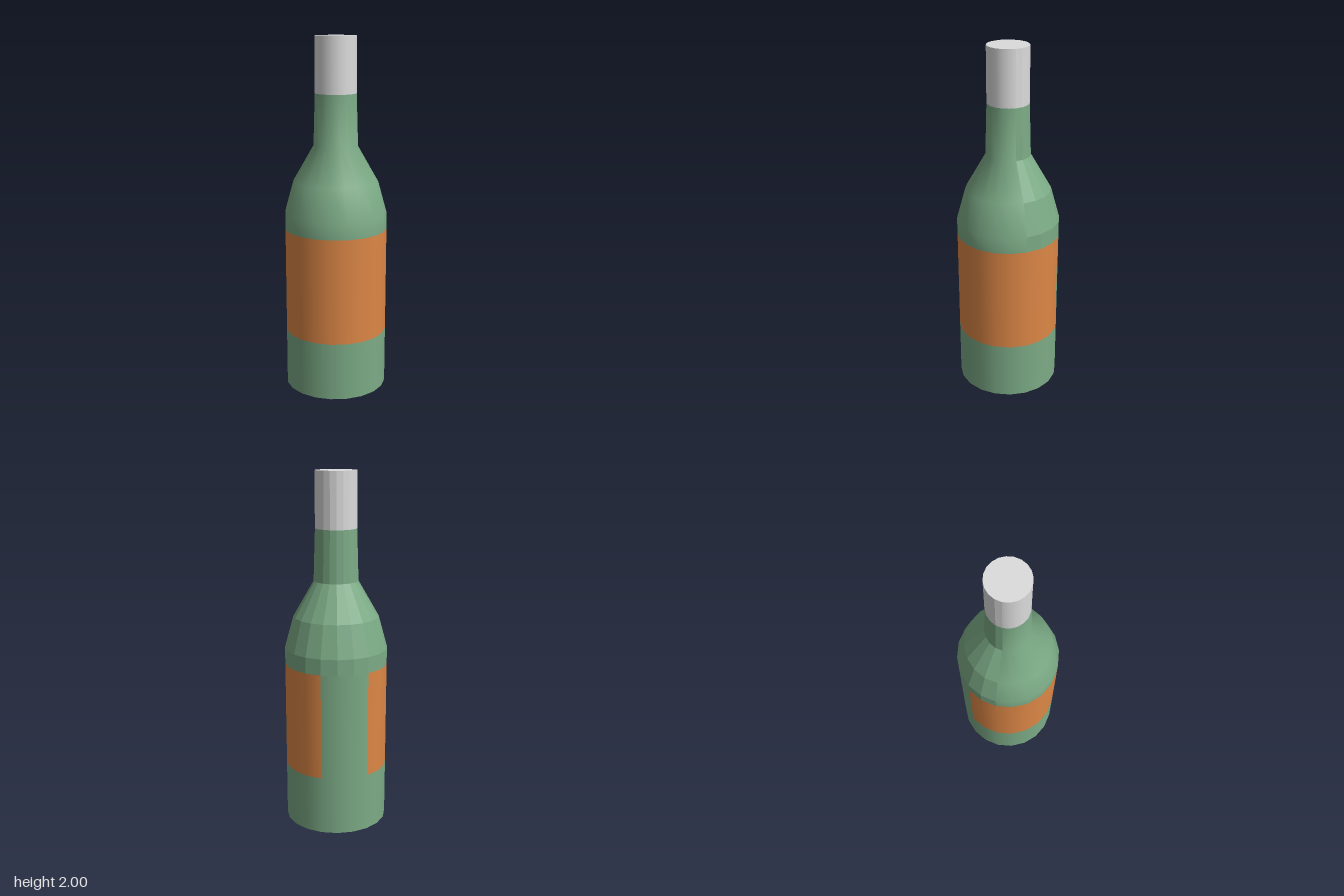
import * as THREE from 'three';

const SIDES = 20;
const RADIUS = 0.29;

const green = new THREE.MeshStandardMaterial({ color: 0x7cab86 });
green.name = 'green glass';
const orange = new THREE.MeshStandardMaterial({ color: 0xdd8746 });
orange.name = 'orange label';
const grey = new THREE.MeshStandardMaterial({ color: 0xdcdcdc });
grey.name = 'pale foil';

// Turns a [radius, height] profile over the sides from..to (side 0 faces +z).
function turned(name, profile, material, from = 0, to = SIDES, flat = false) {
  const step = (Math.PI * 2) / SIDES;
  let geometry = new THREE.LatheGeometry(
    profile.map(([r, y]) => new THREE.Vector2(r, y)), to - from, from * step, (to - from) * step);
  if (flat) {
    geometry = geometry.toNonIndexed();
    geometry.computeVertexNormals();
  }
  const mesh = new THREE.Mesh(geometry, material);
  mesh.name = name;
  return mesh;
}

// The front is smooth, the eight sides at the back are faceted.
function smoothFrontFlatBack(name, profile, material) {
  const group = new THREE.Group();
  group.name = name;
  group.add(
    turned(name + 'Front', profile, material, -6, 6),
    turned(name + 'Back', profile, material, 6, 14, true));
  return group;
}

export function createModel() {
  const bottle = new THREE.Group();
  bottle.name = 'bottle';

  // Body: base disc, lower wall, wrapped label and the bare strip behind it
  bottle.add(
    turned('base', [[0, 0], [RADIUS, 0]], green),
    turned('lowerBody', [[RADIUS, 0], [RADIUS, 0.33]], green),
    turned('label', [[RADIUS, 0.33], [RADIUS, 0.93]], orange, -8, 9),
    turned('bareStrip', [[RADIUS, 0.33], [RADIUS, 0.93]], green, 9, 12));

  // Upper body, shoulder and neck
  bottle.add(smoothFrontFlatBack('shoulderAndNeck',
    [[RADIUS, 0.93], [RADIUS, 1.02], [0.24, 1.2], [0.125, 1.4], [0.116, 1.69]], green));

  // Foil cap with its flat top
  bottle.add(
    smoothFrontFlatBack('cap', [[0.116, 1.69], [0.116, 2]], grey),
    turned('capTop', [[0.116, 2], [0, 2]], grey));

  return bottle;
}
